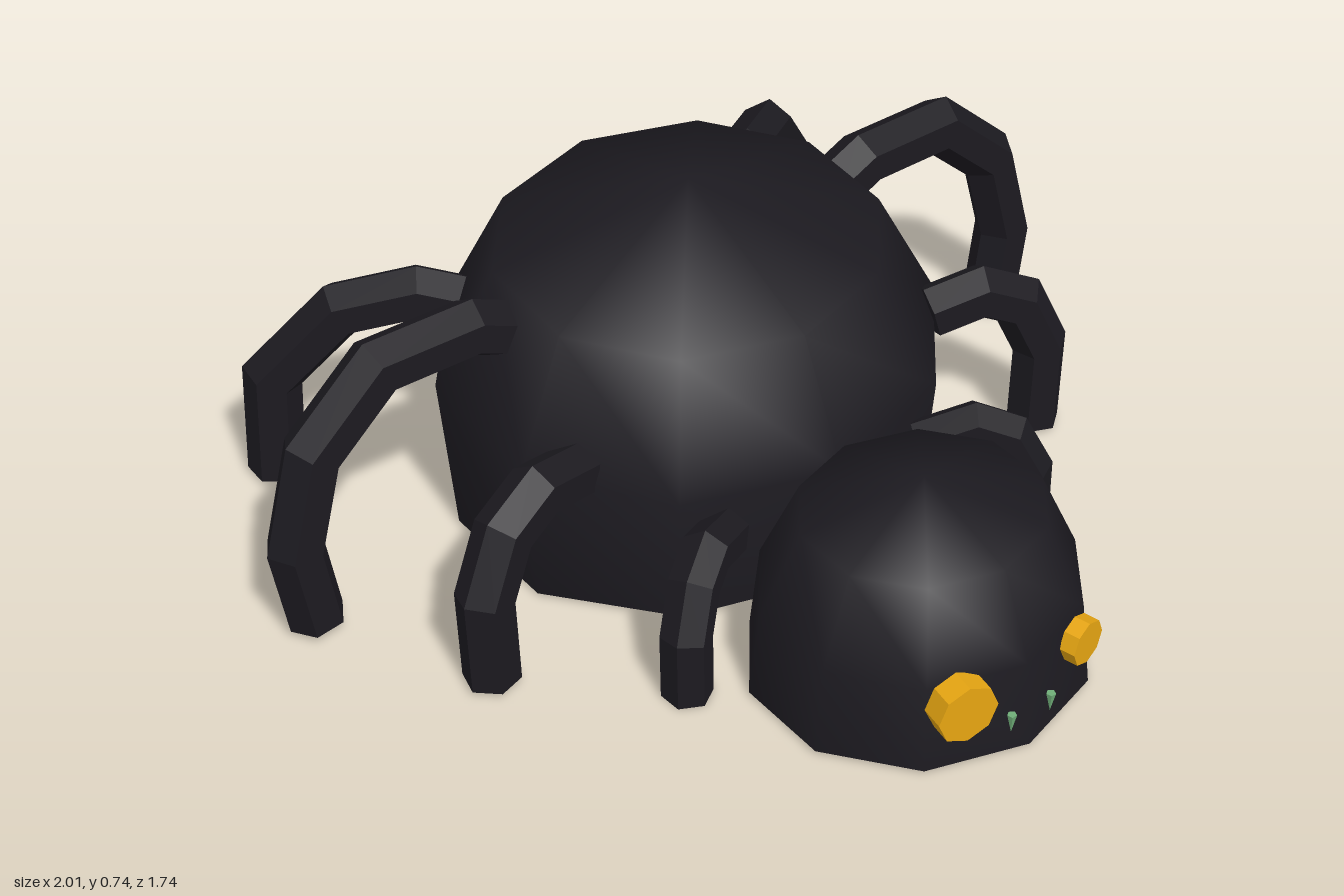
import * as THREE from 'three';
import { mergeVertices } from 'three/addons/utils/BufferGeometryUtils.js';

const shell = new THREE.MeshStandardMaterial({ color: 0x1c1a20 });
const legMat = new THREE.MeshStandardMaterial({ color: 0x1c1a20, flatShading: true });
const eyeMat = new THREE.MeshStandardMaterial({ color: 0xe6a512, flatShading: true });
const fangMat = new THREE.MeshStandardMaterial({ color: 0x6fae78, flatShading: true });

function addMesh(parent, name, geometry, material) {
  const mesh = new THREE.Mesh(geometry, material);
  mesh.name = name;
  parent.add(mesh);
  return mesh;
}

// Ten-sided dome with a flat underside; profile rows are [radius factor, y], lean tips the rows forward
function dome(name, profile, rx, rz, z, lean) {
  const group = new THREE.Group();
  group.name = name;
  group.position.z = z;
  const geo = new THREE.LatheGeometry(profile.map(([r, y]) => new THREE.Vector2(r, y)), 10);
  geo.scale(rx, 1, rz);
  const p = geo.attributes.position;
  for (let i = 0; i < p.count; i++) {
    if (p.getY(i) > 0.05) p.setY(i, p.getY(i) - lean * p.getZ(i));
  }
  geo.deleteAttribute('uv');
  geo.deleteAttribute('normal');
  const smooth = mergeVertices(geo, 1e-4);
  smooth.computeVertexNormals();
  addMesh(group, name + 'Shell', smooth, shell);

  const base = new THREE.CircleGeometry(profile[0][0], 10, Math.PI / 2);
  base.rotateX(Math.PI / 2);
  base.scale(rx, 1, rz);
  addMesh(group, name + 'Underside', base, shell).position.y = profile[0][1];
  return group;
}

// Six-sided mitred leg in a vertical plane; bend rows are [fraction from root to foot, y]
function legGeometry([rx, rz], [fx, fz], bend, radius) {
  const pts = bend.map(([t, y]) => new THREE.Vector3(rx + (fx - rx) * t, y, rz + (fz - rz) * t));
  const side = new THREE.Vector3(rz - fz, 0, fx - rx).normalize();
  const pos = [], index = [], last = pts.length - 1;
  pts.forEach((pt, i) => {
    const before = pts[i].clone().sub(pts[Math.max(i - 1, 0)]).normalize();
    const after = pts[Math.min(i + 1, last)].clone().sub(pt).normalize();
    const tangent = before.clone().add(after).normalize();
    const mitre = 1 / Math.max(tangent.dot(i < last ? after : before), 0.7);
    const normal = side.clone().cross(tangent);
    for (let k = 0; k < 6; k++) {
      const a = k * Math.PI / 3;
      const v = pt.clone().addScaledVector(normal, Math.cos(a) * radius * mitre)
        .addScaledVector(side, Math.sin(a) * radius);
      pos.push(v.x, v.y, v.z);
      if (i < last) {
        const c = i * 6 + k, d = i * 6 + (k + 1) % 6;
        index.push(c, d, c + 6, d, d + 6, c + 6);
      }
    }
  });
  // end caps
  for (let k = 1; k < 5; k++) {
    index.push(0, k + 1, k, last * 6, last * 6 + k, last * 6 + k + 1);
  }
  const geo = new THREE.BufferGeometry();
  geo.setAttribute('position', new THREE.Float32BufferAttribute(pos, 3));
  geo.setIndex(index);
  geo.computeVertexNormals();
  return geo;
}

export function createModel() {
  const model = new THREE.Group();
  model.name = 'spider';

  model.add(dome('abdomen', [[0.95, 0.01], [1, 0.36], [0.76, 0.61], [0, 0.745]], 0.56, 0.505, -0.23, 0.095));
  model.add(dome('head', [[1, 0.01], [0.94, 0.2], [0.71, 0.38], [0, 0.455]], 0.36, 0.34, 0.525, 0));

  // Four pairs of legs; each side has its own root and foot [x, z]
  const legs = [
    { name: 'rearLeg', r: 0.062, left: [[0.37, -0.56], [0.70, -0.81]], right: [[-0.36, -0.55], [-0.72, -0.77]],
      bend: [[0, 0.42], [0.22, 0.45], [0.6, 0.42], [0.97, 0.26], [1, 0.015]] },
    { name: 'middleLeg', r: 0.062, left: [[0.42, -0.29], [0.91, -0.305]], right: [[-0.42, -0.28], [-0.91, -0.28]],
      bend: [[0, 0.53], [0.18, 0.57], [0.62, 0.57], [0.94, 0.43], [1.06, 0.22], [1, 0.025]] },
    { name: 'foreLeg', r: 0.06, left: [[0.46, 0], [0.695, 0.09]], right: [[-0.44, -0.01], [-0.72, 0.075]],
      bend: [[0, 0.35], [0.45, 0.38], [0.8, 0.34], [1.02, 0.22], [1, 0.015]] },
    { name: 'frontLeg', r: 0.053, left: [[0.25, 0.22], [0.445, 0.345]], right: [[-0.24, 0.21], [-0.435, 0.34]],
      bend: [[0, 0.23], [0.5, 0.27], [0.8, 0.24], [1, 0.15], [1, 0.004]] },
  ];
  for (const { name, r, left, right, bend } of legs) {
    addMesh(model, name + 'Left', legGeometry(...left, bend, r), legMat);
    addMesh(model, name + 'Right', legGeometry(...right, bend, r), legMat);
  }

  // Unequal disc eyes, each turned a little outward
  for (const [name, x, z, r, depth, turn] of [
    ['rightEye', -0.145, 0.823, 0.066, 0.052, -0.15],
    ['leftEye', 0.163, 0.818, 0.049, 0.035, 0.25],
  ]) {
    const geo = new THREE.CylinderGeometry(r, r, depth, 8).rotateX(Math.PI / 2);
    const eye = addMesh(model, name, geo, eyeMat);
    eye.position.set(x, 0.157, z);
    eye.rotation.y = turn;
  }

  // Small fangs pointing down
  for (const [name, x] of [['rightFang', -0.04], ['leftFang', 0.06]]) {
    const fang = addMesh(model, name, new THREE.ConeGeometry(0.01, 0.045, 5).rotateX(Math.PI), fangMat);
    fang.position.set(x, 0.077, 0.852);
  }
  return model;
}
